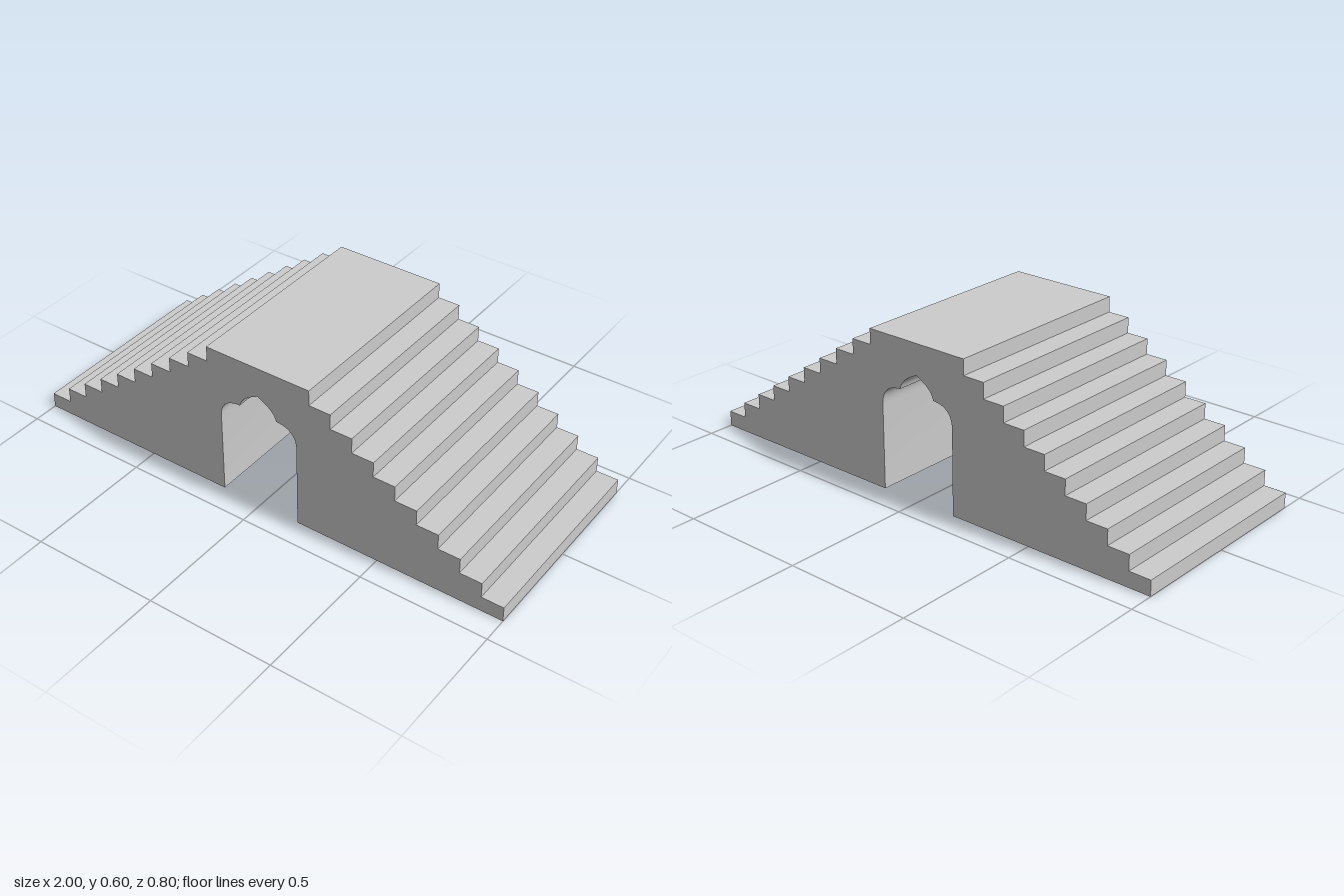
import * as THREE from 'three';
import { toCreasedNormals } from 'three/addons/utils/BufferGeometryUtils.js';

const LEVELS = 10, RISE = 0.06, TREAD = 0.087, DEPTH = 0.8;

export function createModel() {
  const group = new THREE.Group();
  group.name = 'steppedBridge';
  const shape = new THREE.Shape();

  // right-hand flight, climbing from the ground to the landing
  shape.moveTo(0.163, 0);
  shape.lineTo(1, 0);
  for (let i = 0; i < LEVELS; i++) {
    const x = 1 - i * TREAD;
    shape.lineTo(x, (i + 1) * RISE);
    if (i < LEVELS - 1) shape.lineTo(x - TREAD, (i + 1) * RISE);
  }
  // landing and mirrored flight down
  for (let i = LEVELS - 1; i >= 0; i--) {
    const x = -1 + i * TREAD;
    shape.lineTo(x, (i + 1) * RISE);
    shape.lineTo(x, i * RISE);
  }

  // passage with rounded shoulders and a pointed, cusped crown
  shape.lineTo(-0.163, 0);
  shape.lineTo(-0.163, 0.33);
  shape.bezierCurveTo(-0.163, 0.385, -0.13, 0.408, -0.078, 0.41);
  shape.bezierCurveTo(-0.07, 0.445, -0.04, 0.462, 0, 0.482);
  shape.bezierCurveTo(0.04, 0.462, 0.07, 0.445, 0.078, 0.41);
  shape.bezierCurveTo(0.13, 0.408, 0.163, 0.385, 0.163, 0.33);
  shape.lineTo(0.163, 0);

  const geometry = new THREE.ExtrudeGeometry(shape, {
    depth: DEPTH, bevelEnabled: false, curveSegments: 10,
  });
  geometry.translate(0, 0, -DEPTH / 2);

  const body = new THREE.Mesh(
    toCreasedNormals(geometry, 0.5),
    new THREE.MeshStandardMaterial({ color: 0xcccccc }),
  );
  body.name = 'stairsWithArchway';
  group.add(body);
  return group;
}
